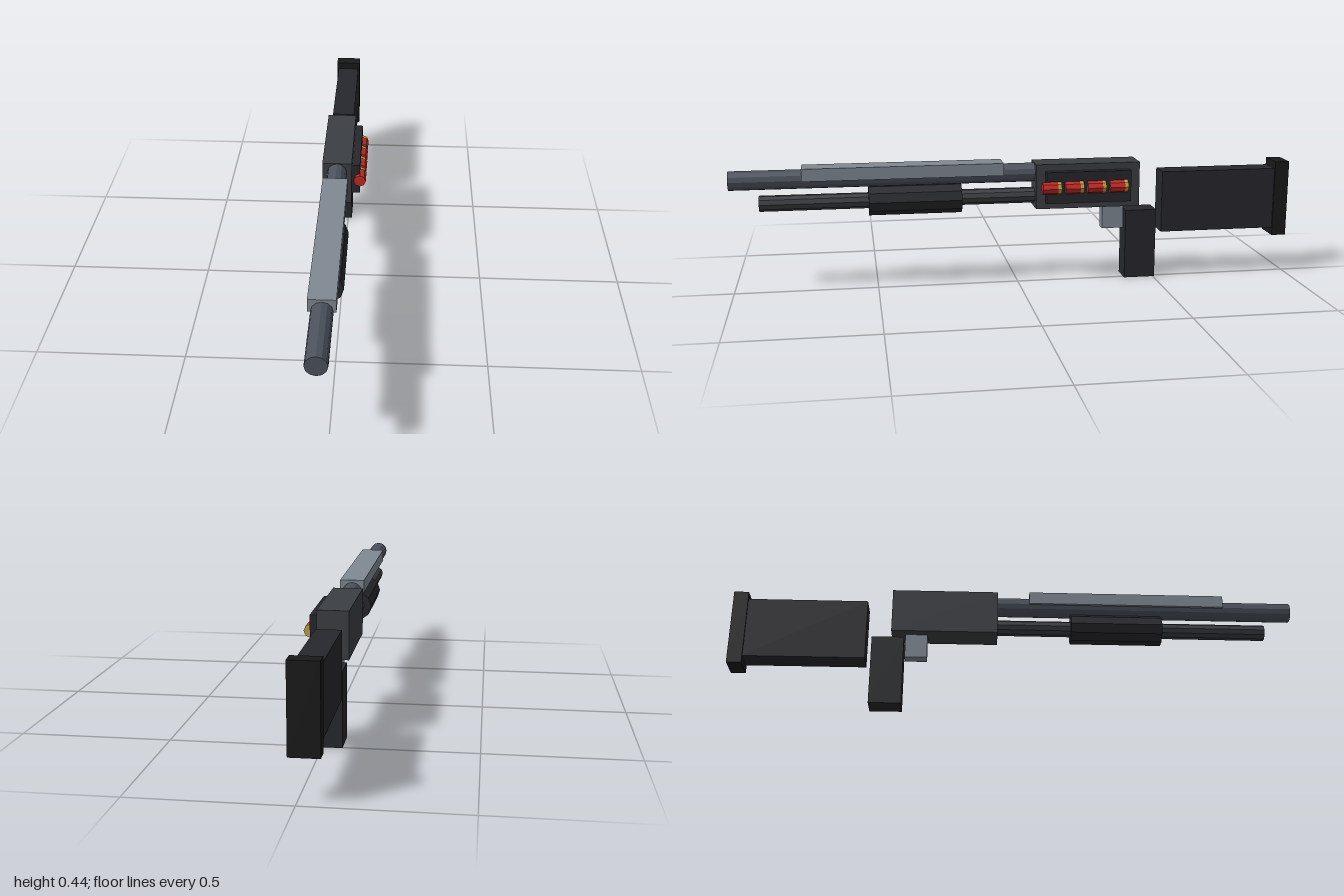
import * as THREE from 'three';

const CX = -0.025; // centre line of the long parts

export function createModel() {
  const model = new THREE.Group();
  const material = (color) => new THREE.MeshStandardMaterial({ color, flatShading: true });
  const steel = material(0x4c525d);
  const darkSteel = material(0x3b3e43);
  const lightSteel = material(0x808993);
  const polymer = material(0x27282d);
  const rubber = material(0x1a1a1b);
  const red = material(0xc42a24);
  const brass = material(0xc2a040);

  const add = (name, geometry, mat, x, y, z, parent = model) => {
    const mesh = new THREE.Mesh(geometry, mat);
    mesh.name = name;
    mesh.position.set(x, y, z);
    parent.add(mesh);
  };
  // Box given by its width and its y and z ranges
  const box = (name, mat, width, y0, y1, z0, z1, x = CX) =>
    add(name, new THREE.BoxGeometry(width, y1 - y0, z1 - z0), mat, x, (y0 + y1) / 2, (z0 + z1) / 2);
  // Faceted rod lying along z, with a corner on each side
  const rod = (name, mat, r, sides, x, y, z0, z1, parent) => {
    const geometry = new THREE.CylinderGeometry(r, r, z1 - z0, sides, 1, false, Math.PI / 2);
    add(name, geometry.rotateX(Math.PI / 2), mat, x, y, (z0 + z1) / 2, parent);
  };

  // Barrel, magazine and pump
  rod('barrel', steel, 0.034, 12, CX, 0.396, -0.08, 1);
  rod('magazineTube', darkSteel, 0.028, 10, CX, 0.313, -0.08, 0.9);
  rod('pumpHandle', polymer, 0.0535, 10, CX, 0.313, 0.2, 0.525);
  box('topRib', lightSteel, 0.086, 0.394, 0.438, 0.052, 0.752);

  // Receiver, trigger and grip
  box('receiver', darkSteel, 0.104, 0.271, 0.431, -0.437, -0.062);
  box('trigger', lightSteel, 0.04, 0.184, 0.29, -0.388, -0.31);
  box('grip', polymer, 0.08, 0, 0.252, -0.505, -0.392);

  // Stock and butt pad
  box('stock', polymer, 0.082, 0.168, 0.39, -0.955, -0.525);
  box('buttPad', rubber, 0.094, 0.14, 0.415, -1, -0.948);

  // Side carrier with four spare shells
  box('shellCarrier', polymer, 0.03, 0.295, 0.407, -0.4, -0.095, 0.04);
  for (let i = 0; i < 4; i++) {
    const shell = new THREE.Group();
    shell.name = 'spareShell';
    shell.position.set(0.055, 0.351, -0.08 - i * 0.08);
    rod('shellCase', red, 0.022, 8, 0, 0, -0.053, 0, shell);
    rod('shellBase', brass, 0.0225, 8, 0, 0, -0.066, -0.053, shell);
    model.add(shell);
  }
  return model;
}
